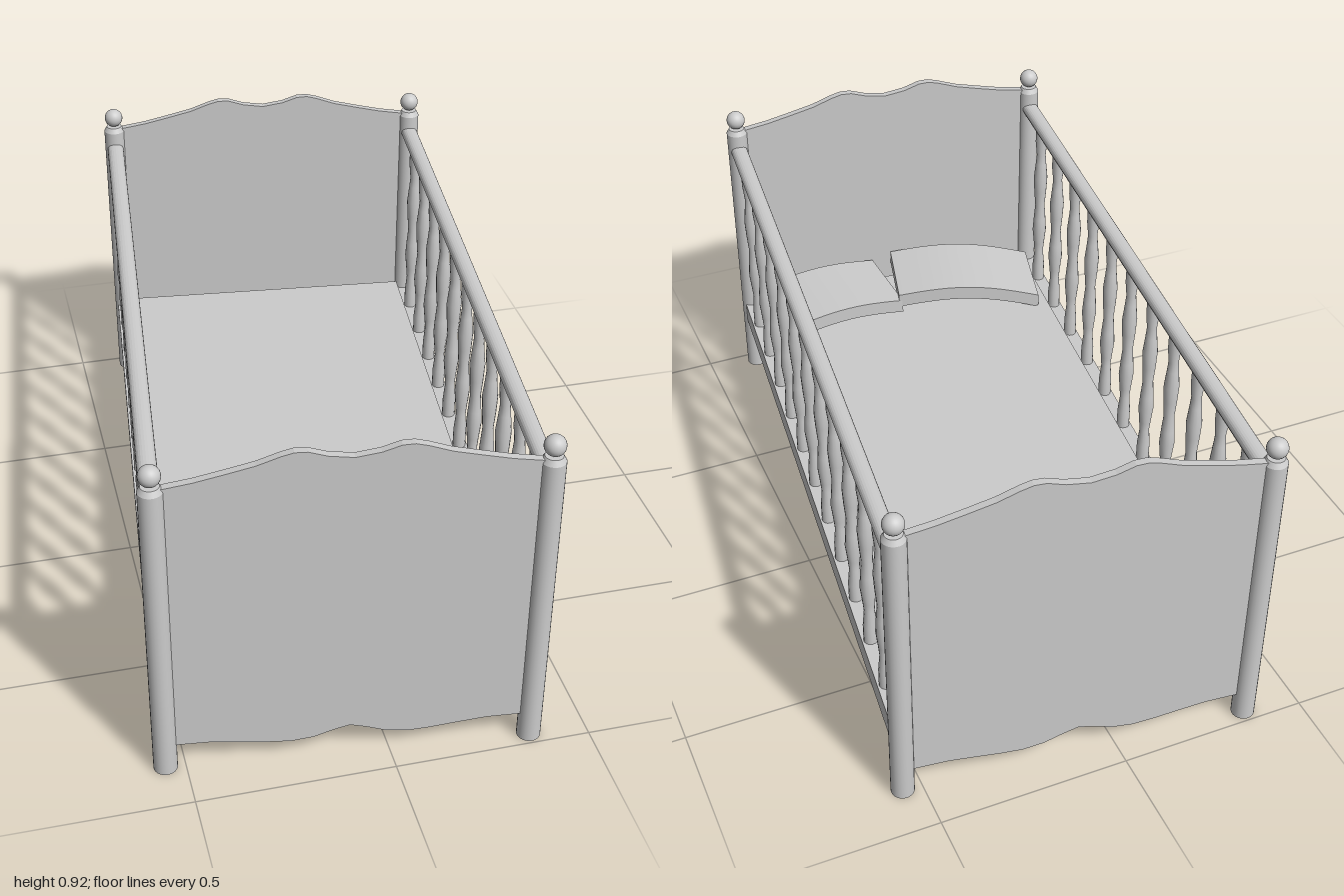
import * as THREE from 'three';

const material = new THREE.MeshStandardMaterial({ color: 0xcccccc });
const HALF_W = 0.4535, HALF_L = 0.921; // post centres

function add(parent, name, geometry, x = 0, y = 0, z = 0) {
  const mesh = new THREE.Mesh(geometry, material);
  mesh.name = name;
  mesh.position.set(x, y, z);
  parent.add(mesh);
  return mesh;
}

// End panel with a scalloped top and bottom, mirrored about its middle
function endPanelGeometry() {
  const top = [[0.44, 0.847], [0.36, 0.86], [0.29, 0.876], [0.22, 0.893], [0.165, 0.913],
    [0.135, 0.921], [0.105, 0.92], [0.06, 0.905], [0, 0.896]];
  const bottom = [[0, 0.092], [0.04, 0.081], [0.09, 0.063], [0.145, 0.056], [0.2, 0.06],
    [0.27, 0.069], [0.34, 0.077], [0.44, 0.078]];
  const mirror = (pts) => pts.slice().reverse().map(([x, y]) => [-x, y]);
  const outline = [...bottom, ...top, ...mirror(top).slice(1), ...mirror(bottom).slice(0, -1)];
  const shape = new THREE.Shape(outline.map(([x, y]) => new THREE.Vector2(x, y)));
  return new THREE.ExtrudeGeometry(shape, { depth: 0.02, bevelEnabled: false }).translate(0, 0, -0.01);
}

// Turned spindle: two swellings between three narrow necks
function spindleGeometry() {
  const profile = [[0.018, 0.23], [0.018, 0.29], [0.0135, 0.34], [0.016, 0.37], [0.021, 0.42],
    [0.0185, 0.46], [0.0145, 0.51], [0.0185, 0.56], [0.021, 0.61], [0.016, 0.66],
    [0.0135, 0.69], [0.018, 0.735], [0.018, 0.78]];
  return new THREE.LatheGeometry(profile.map(([r, y]) => new THREE.Vector2(r, y)), 14);
}

// Handrail: flat underside with a rounded upper half, running along z
function handrailGeometry(length) {
  const s = new THREE.Shape();
  s.moveTo(-0.018, 0.772);
  s.lineTo(0.018, 0.772);
  s.lineTo(0.024, 0.785);
  s.quadraticCurveTo(0.022, 0.805, 0, 0.805);
  s.quadraticCurveTo(-0.022, 0.805, -0.024, 0.785);
  s.closePath();
  return new THREE.ExtrudeGeometry(s, { depth: length, bevelEnabled: false, curveSegments: 6 })
    .translate(0, 0, -length / 2);
}

// Soft slab that arches along its width; y0 and y1 are the underside heights at the ends
function pillowGeometry(width, depth, y0, y1, arch) {
  const g = new THREE.BoxGeometry(width, 0.042, depth, 14, 1, 4);
  const p = g.attributes.position;
  for (let i = 0; i < p.count; i++) {
    const t = p.getX(i) / width + 0.5;
    p.setY(i, p.getY(i) + 0.021 + y0 + (y1 - y0) * t + arch * Math.sin(Math.PI * t));
  }
  g.computeVertexNormals();
  return g;
}

export function createModel() {
  const model = new THREE.Group();
  model.name = 'crib';
  const frame = new THREE.Group();
  frame.name = 'cribFrame';
  frame.rotation.y = -0.107;
  model.add(frame);

  // Corner posts with ball finials
  const post = new THREE.CylinderGeometry(0.03, 0.03, 0.84, 24);
  const cap = new THREE.CylinderGeometry(0.022, 0.03, 0.014, 24);
  const ball = new THREE.SphereGeometry(0.0265, 24, 16);
  for (const sx of [-1, 1]) {
    for (const sz of [-1, 1]) {
      const x = sx * HALF_W, z = sz * HALF_L;
      add(frame, 'cornerPost', post, x, 0.42, z);
      add(frame, 'postCap', cap, x, 0.847, z);
      add(frame, 'finial', ball, x, 0.881, z);
    }
  }

  // Head and foot panels
  const panel = endPanelGeometry();
  add(frame, 'frontPanel', panel, 0, 0, HALF_L);
  add(frame, 'backPanel', panel, 0, 0, -HALF_L);

  // Slatted sides
  const spindle = spindleGeometry();
  const handrail = handrailGeometry(2 * HALF_L - 0.04);
  const lowerRail = new THREE.BoxGeometry(0.045, 0.062, 2 * HALF_L - 0.04);
  for (const sx of [-1, 1]) {
    const side = new THREE.Group();
    side.name = sx > 0 ? 'leftSide' : 'rightSide';
    side.position.x = sx * HALF_W;
    frame.add(side);
    add(side, 'handrail', handrail);
    add(side, 'lowerRail', lowerRail, 0, 0.205, 0);
    for (let i = -5; i <= 5; i++) add(side, 'spindle', spindle, 0, 0, i * 0.157);
  }

  // Base board and mattress
  add(frame, 'baseBoard', new THREE.BoxGeometry(0.87, 0.03, 1.82), 0, 0.19, 0);
  add(frame, 'mattress', new THREE.BoxGeometry(0.85, 0.065, 1.77), 0, 0.2335, 0);

  // Two pillows at the front end
  add(model, 'rightPillow', pillowGeometry(0.435, 0.245, 0.262, 0.305, 0.03), -0.272, 0, 0.722)
    .rotation.y = -0.25;
  add(model, 'leftPillow', pillowGeometry(0.355, 0.245, 0.285, 0.291, 0.02), 0.14, 0, 0.77)
    .rotation.y = 0.04;

  return model;
}
